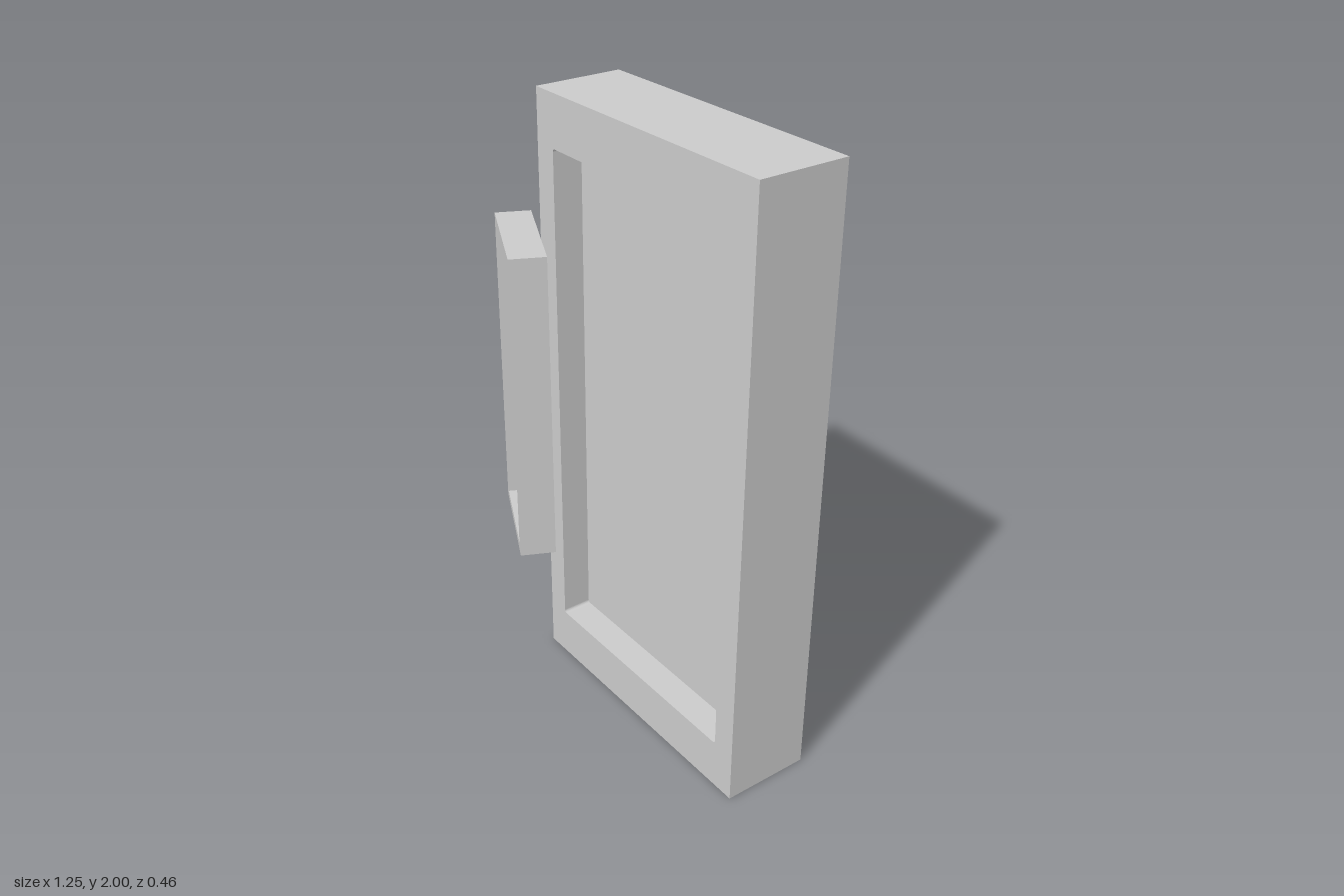
import * as THREE from 'three';

const material = new THREE.MeshStandardMaterial({ color: 0xcccccc });

// Rectangle outline centred on the origin, with optional small corner radius
function traceRect(path, w, h, r = 0) {
  const x = w / 2, y = h / 2;
  path.moveTo(-x + r, -y);
  path.lineTo(x - r, -y);
  if (r) path.absarc(x - r, -y + r, r, -Math.PI / 2, 0);
  path.lineTo(x, y - r);
  if (r) path.absarc(x - r, y - r, r, 0, Math.PI / 2);
  path.lineTo(-x + r, y);
  if (r) path.absarc(-x + r, y - r, r, Math.PI / 2, Math.PI);
  path.lineTo(-x, -y + r);
  if (r) path.absarc(-x + r, -y + r, r, Math.PI, Math.PI * 1.5);
  path.closePath();
  return path;
}

// Slab with a rectangular recess sunk into its +z face
function recessedPanel(name, { w, h, d, recessW, recessH, recessD, radius }) {
  const group = new THREE.Group();
  group.name = name;

  const outline = traceRect(new THREE.Shape(), w, h);
  outline.holes.push(traceRect(new THREE.Path(), recessW, recessH, radius));
  const rim = new THREE.Mesh(
    new THREE.ExtrudeGeometry(outline, { depth: recessD, bevelEnabled: false, curveSegments: 4 }),
    material
  );
  rim.name = name + 'Rim';
  rim.position.z = d / 2 - recessD;

  const back = new THREE.Mesh(new THREE.BoxGeometry(w, h, d - recessD), material);
  back.name = name + 'Back';
  back.position.z = -recessD / 2;

  group.add(rim, back);
  return group;
}

export function createModel() {
  const model = new THREE.Group();
  model.name = 'cabinetWithSidePanel';

  // Tall main case
  const mainCase = recessedPanel('mainCase', {
    w: 0.985, h: 2, d: 0.294, recessW: 0.825, recessH: 1.668, recessD: 0.1, radius: 0.01,
  });
  mainCase.position.set(0.134, 1, -0.087);

  // Smaller panel angled across the front corner
  const sidePanel = recessedPanel('sidePanel', {
    w: 0.391, h: 1.056, d: 0.117, recessW: 0.33, recessH: 0.995, recessD: 0.037, radius: 0,
  });
  sidePanel.position.set(-0.426, 1.003, 0.093);
  sidePanel.rotation.y = -0.45;

  model.add(mainCase, sidePanel);
  return model;
}
